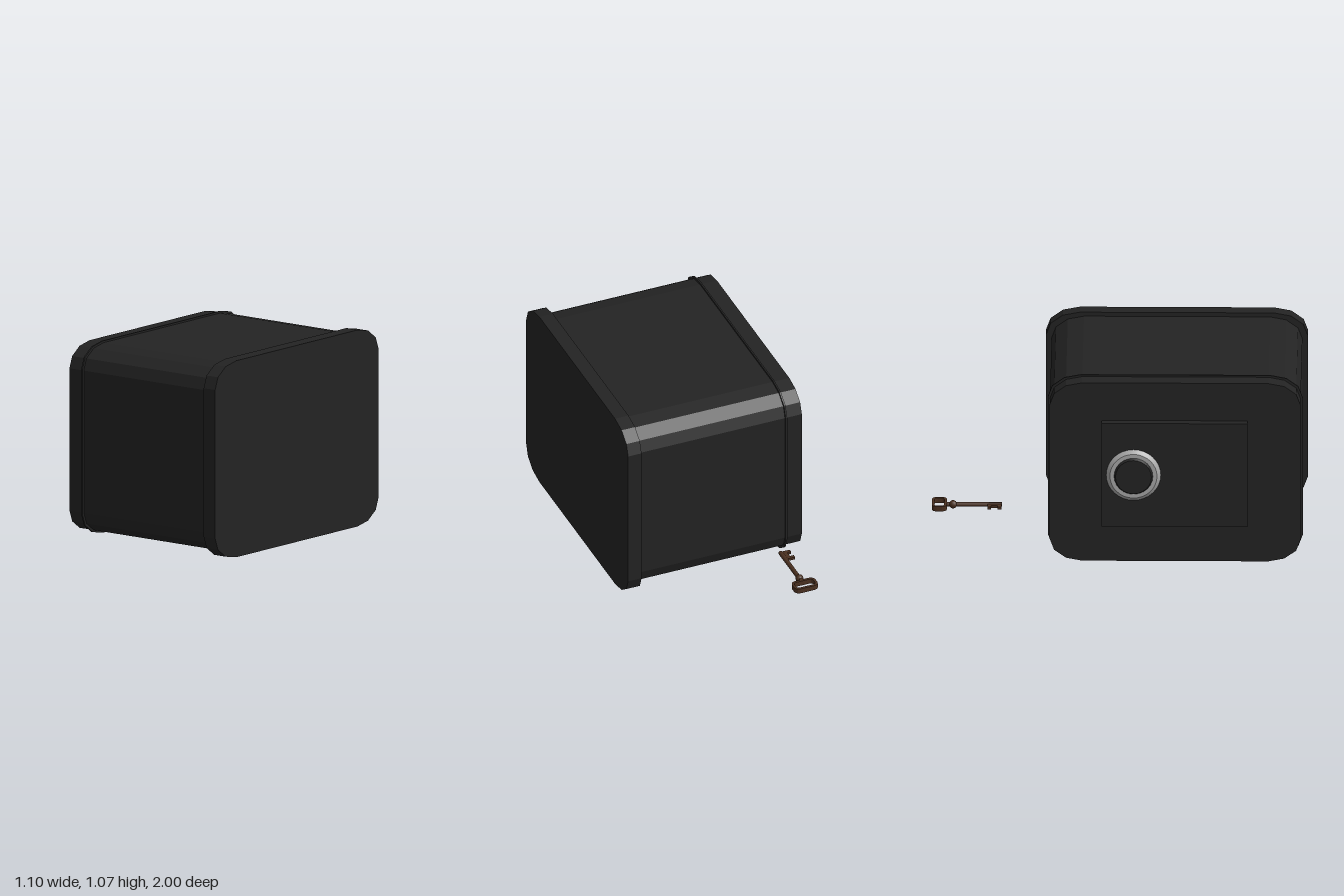
import * as THREE from 'three';

const mat = (name, color) => {
  const m = new THREE.MeshStandardMaterial({ color });
  m.name = name;
  return m;
};

// Closed outline of a rectangle with elliptical corners of three facets each
function roundedOutline(w, h, rx, ry, steps = 3) {
  const pts = [];
  const corners = [[1, 1], [-1, 1], [-1, -1], [1, -1]];
  corners.forEach(([sx, sy], q) => {
    for (let i = 0; i <= steps; i++) {
      const a = (q + i / steps) * Math.PI / 2;
      pts.push(new THREE.Vector2(
        sx * (w / 2 - rx) + rx * Math.cos(a),
        sy * (h / 2 - ry) + ry * Math.sin(a)));
    }
  });
  return pts;
}

export function createModel() {
  const black = mat('black steel', 0x232323);
  const silver = mat('silver', 0xa8a8a8);
  const bronze = mat('dark bronze', 0x4a3020);
  const model = new THREE.Group();
  model.name = 'safe';

  const add = (parent, name, geometry, material, x = 0, y = 0, z = 0) => {
    const mesh = new THREE.Mesh(geometry, material);
    mesh.name = name;
    mesh.position.set(x, y, z);
    parent.add(mesh);
    return mesh;
  };

  // Rounded slabs stacked along x: safe body, thin band and wide end flange
  const slab = (name, x0, x1, depth, height) => {
    const shape = new THREE.Shape(roundedOutline(depth, height, 0.129 * depth, 0.122 * height));
    const g = new THREE.ExtrudeGeometry(shape, { depth: x1 - x0, bevelEnabled: false });
    g.rotateY(Math.PI / 2);
    add(model, name, g, black, x0, 0.536, 0.302);
  };
  slab('body', -0.474, 0.47, 1.34, 1.026);
  slab('band', -0.385, -0.376, 1.362, 1.046);
  slab('endFlange', 0.468, 0.546, 1.4, 1.072);

  // Door plate
  add(model, 'doorPlate', new THREE.BoxGeometry(0.046, 0.594, 0.78), black, -0.494, 0.536, 0.3);

  // Dial: bevelled silver ring and black knob, facing -x
  const dial = new THREE.Group();
  dial.name = 'dial';
  dial.position.set(-0.516, 0.536, 0.08);
  dial.rotation.z = Math.PI / 2;
  model.add(dial);
  add(dial, 'dialRing', new THREE.CylinderGeometry(0.126, 0.147, 0.019, 32), silver, 0, 0.0095, 0);
  add(dial, 'dialKnob', new THREE.CylinderGeometry(0.096, 0.105, 0.016, 24), black, 0, 0.025, 0);

  // Key lying flat behind the safe
  const key = new THREE.Group();
  key.name = 'key';
  key.position.set(-0.241, 0.25, 0);
  model.add(key);

  const bow = new THREE.Shape(roundedOutline(0.135, 0.08, 0.026, 0.026));
  bow.holes.push(new THREE.Path(roundedOutline(0.109, 0.052, 0.015, 0.015)));
  const bowGeometry = new THREE.ExtrudeGeometry(bow, { depth: 0.028, bevelEnabled: false });
  bowGeometry.translate(0, 0, -0.014).rotateX(Math.PI / 2);
  add(key, 'keyBow', bowGeometry, bronze, 0, 0, -0.96);

  const shaft = new THREE.CylinderGeometry(0.012, 0.012, 0.3, 12).rotateX(Math.PI / 2);
  add(key, 'keyShaft', shaft, bronze, 0, 0, -0.775);
  add(key, 'keyCollar', new THREE.SphereGeometry(0.022, 12, 8), bronze, 0, 0, -0.887);

  // Notched key bit
  add(key, 'keyBitWeb', new THREE.BoxGeometry(0.025, 0.014, 0.075), bronze, -0.018, 0, -0.665);
  for (const z of [-0.693, -0.638]) {
    add(key, 'keyTooth', new THREE.BoxGeometry(0.045, 0.014, 0.02), bronze, -0.03, 0, z);
  }
  return model;
}
